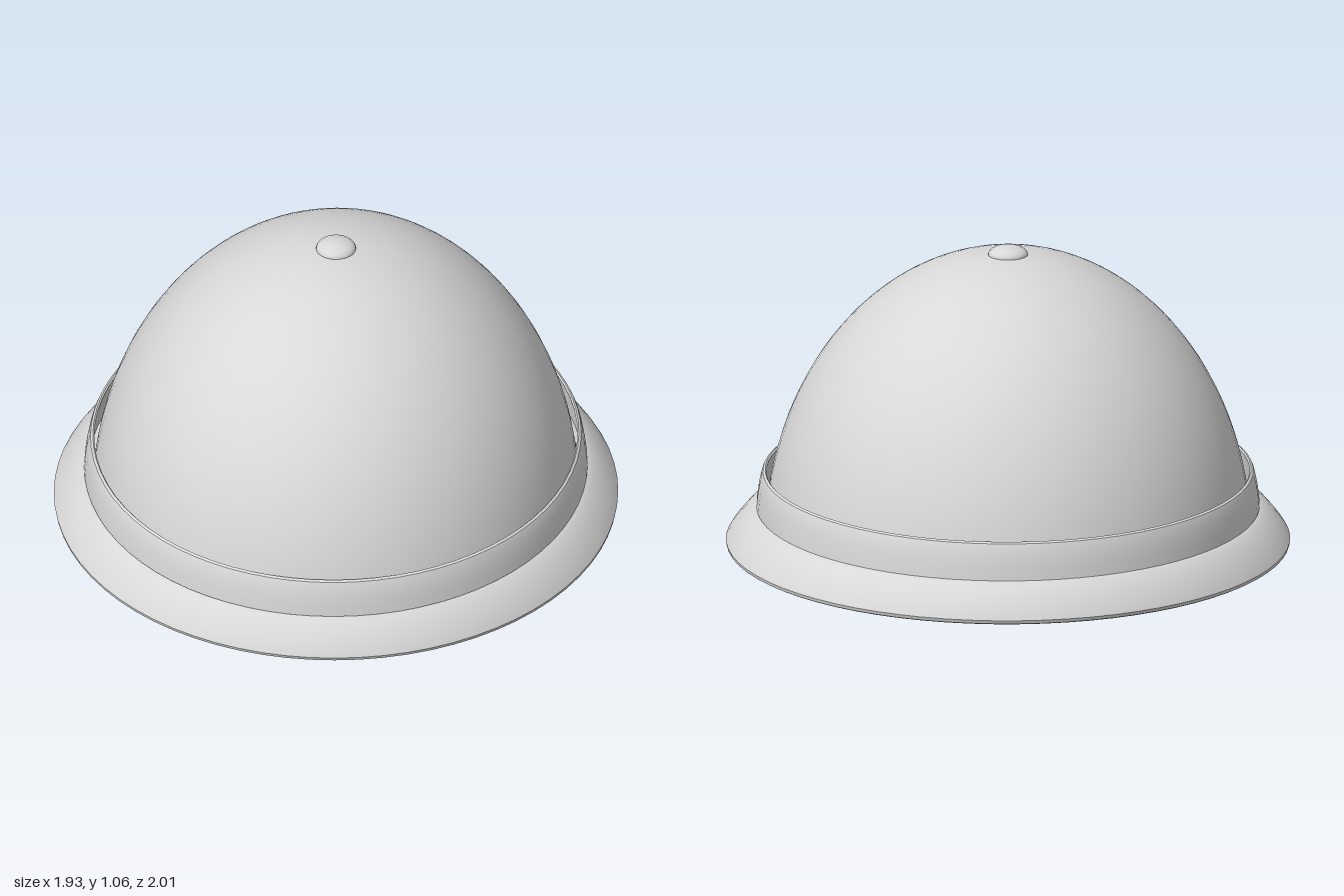
import * as THREE from 'three';
import { toCreasedNormals } from 'three/addons/utils/BufferGeometryUtils.js';

const SEGMENTS = 72;

// Oval lathe: depthAt(y) stretches the ring along z, shift moves it forward.
function ovalLathe(name, profile, material, depthAt, shift) {
  const points = profile.map(([r, y]) => new THREE.Vector2(r, y));
  const geometry = new THREE.LatheGeometry(points, SEGMENTS);
  const p = geometry.attributes.position;
  for (let i = 0; i < p.count; i++) {
    p.setZ(i, p.getZ(i) * depthAt(p.getY(i)) + shift);
  }
  const mesh = new THREE.Mesh(toCreasedNormals(geometry, 0.6), material);
  mesh.name = name;
  return mesh;
}

// Arc of an ellipse centred on the ground, from its cut at baseY to the top.
function crownArc(radius, height, baseY, steps) {
  const start = Math.asin(baseY / height);
  const arc = [];
  for (let i = 0; i <= steps; i++) {
    const a = THREE.MathUtils.lerp(start, Math.PI / 2, i / steps);
    arc.push([i === steps ? 0 : radius * Math.cos(a), height * Math.sin(a)]);
  }
  return arc;
}

export function createModel() {
  const group = new THREE.Group();
  group.name = 'hat';
  const felt = new THREE.MeshStandardMaterial({ color: 0xd8d8d8, side: THREE.DoubleSide });
  felt.name = 'light grey felt';

  // Crown: outer and inner shells joined at the base
  const inner = crownArc(0.824, 1.021, 0.122, 28).reverse();
  const outer = crownArc(0.833, 1.03, 0.122, 28);
  group.add(ovalLathe('crown', [...inner, ...outer], felt, () => 1.069, 0.006));

  // Band standing clear of the crown
  const band = [
    [0.845, 0.13], [0.861, 0.13], [0.858, 0.165], [0.852, 0.205], [0.844, 0.243],
    [0.839, 0.255], [0.831, 0.26], [0.826, 0.255], [0.832, 0.22], [0.845, 0.13],
  ];
  group.add(ovalLathe('band', band, felt, () => 1.06, 0.005));

  // Flared, rounded brim with a lip around the opening
  const brim = [
    [0.956, 0], [0.963, 0.004], [0.965, 0.016], [0.953, 0.036], [0.93, 0.066],
    [0.902, 0.097], [0.876, 0.118], [0.855, 0.13], [0.827, 0.133], [0.827, 0.125],
    [0.85, 0.121], [0.87, 0.11], [0.895, 0.09], [0.922, 0.06], [0.943, 0.03],
    [0.951, 0.008], [0.956, 0],
  ];
  group.add(ovalLathe('brim', brim, felt, (y) => 1.036 + 0.026 * Math.min(1, y / 0.13), 0));

  // Button on top
  const button = new THREE.Mesh(new THREE.SphereGeometry(0.068, 32, 16), felt);
  button.name = 'topButton';
  button.scale.y = 0.47;
  button.position.y = 1.027;
  group.add(button);

  return group;
}
